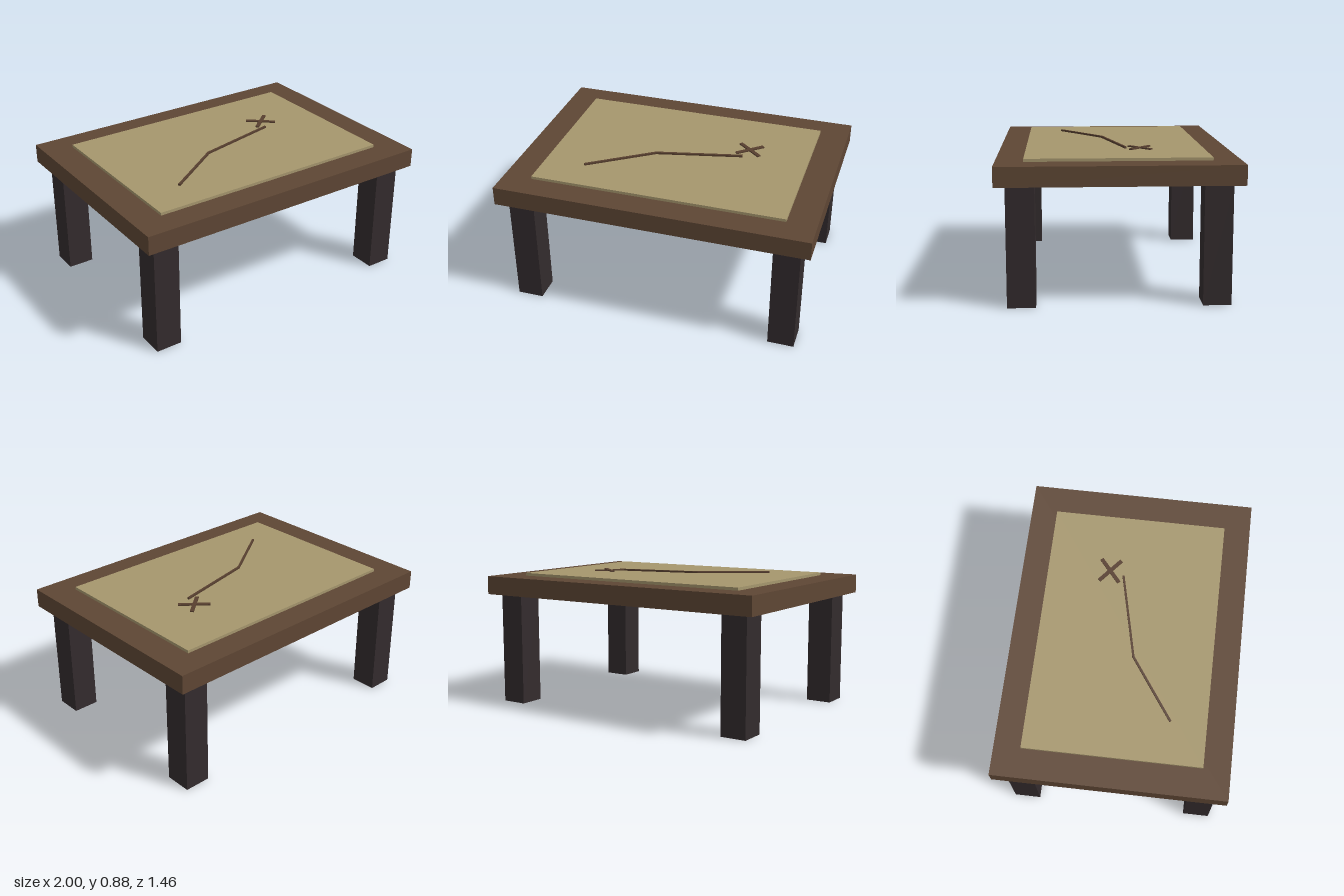
import * as THREE from 'three';

const material = (name, color) => {
  const m = new THREE.MeshStandardMaterial({ color });
  m.name = name;
  return m;
};

export function createModel() {
  const wood = material('brown wood', 0x5e4634);
  const darkWood = material('dark leg wood', 0x332b2d);
  const parchment = material('parchment', 0xa5966d);
  const ink = material('brown ink', 0x573f2f);

  const table = new THREE.Group();
  table.name = 'mapTable';

  // Box resting on height y, centred on x and z
  const box = (name, mat, w, h, d, x, y, z, parent = table) => {
    const mesh = new THREE.Mesh(new THREE.BoxGeometry(w, h, d), mat);
    mesh.name = name;
    mesh.position.set(x, y + h / 2, z);
    parent.add(mesh);
    return mesh;
  };

  // Table top and four legs
  box('tableTop', wood, 2, 0.12, 1.455, 0, 0.73, 0);
  for (const [side, sx] of [['Left', 1], ['Right', -1]])
    for (const [end, sz] of [['front', 1], ['back', -1]])
      box(`${end}${side}Leg`, darkWood, 0.167, 0.73, 0.17, sx * 0.85, 0, sz * 0.579);

  // Map sheet
  box('mapSheet', parchment, 1.63, 0.018, 1.118, 0, 0.85, 0);

  // Route drawn as straight strokes between waypoints
  const route = new THREE.Group();
  route.name = 'route';
  table.add(route);
  const points = [[-0.545, 0.33], [-0.155, 0.06], [0.39, -0.065]];
  for (let i = 0; i < points.length - 1; i++) {
    const [[ax, az], [bx, bz]] = [points[i], points[i + 1]];
    const stroke = box(`routeStroke${i + 1}`, ink, Math.hypot(bx - ax, bz - az) + 0.008, 0.012, 0.014,
      (ax + bx) / 2, 0.868, (az + bz) / 2, route);
    stroke.rotation.y = -Math.atan2(bz - az, bx - ax);
  }

  // Cross marking the destination, hovering just above the sheet
  const cross = new THREE.Group();
  cross.name = 'destinationCross';
  table.add(cross);
  for (const s of [1, -1]) {
    const arm = box(s > 0 ? 'crossArmA' : 'crossArmB', ink, 0.2, 0.008, 0.024, 0.42, 0.872, -0.155, cross);
    arm.rotation.y = s * 0.7;
  }

  return table;
}
